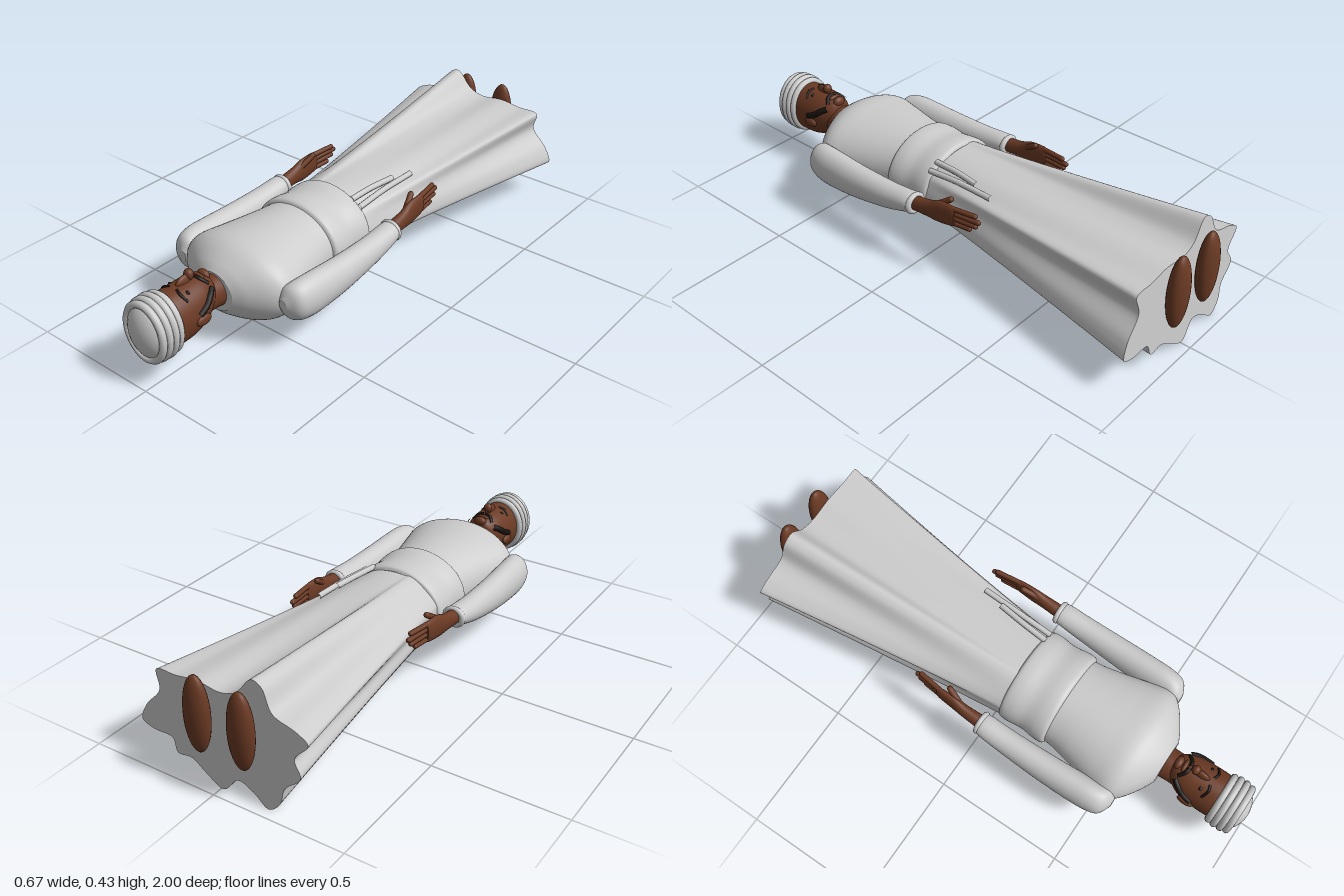
import * as THREE from 'three';

const cloth = new THREE.MeshStandardMaterial({ color: 0xcccccc });
const skin = new THREE.MeshStandardMaterial({ color: 0x6b3a24 });
const hair = new THREE.MeshStandardMaterial({ color: 0x17120f });
const CX = -0.017; // body axis

// Closed loft: point(u, k) gives ring points, u runs towards +z, k runs counter-clockwise
function loft(rings, segs, point) {
  const pos = [], idx = [];
  for (let i = 0; i <= rings; i++)
    for (let j = 0; j < segs; j++) pos.push(...point(i / rings, j / segs));
  for (let i = 0; i < rings; i++)
    for (let j = 0; j < segs; j++) {
      const a = i * segs + j, b = i * segs + (j + 1) % segs;
      idx.push(a, b, b + segs, a, b + segs, a + segs);
    }
  // end caps with their own vertices, so the rims stay sharp
  for (const end of [0, 1]) {
    const base = pos.length / 3, c = [0, 0, 0];
    for (let j = 0; j < segs; j++) {
      const p = point(end, j / segs);
      p.forEach((v, n) => { c[n] += v / segs; });
      pos.push(...p);
    }
    pos.push(...c);
    for (let j = 0; j < segs; j++) {
      const a = base + j, b = base + (j + 1) % segs;
      if (end) idx.push(base + segs, a, b); else idx.push(base + segs, b, a);
    }
  }
  const g = new THREE.BufferGeometry();
  g.setAttribute('position', new THREE.Float32BufferAttribute(pos, 3));
  g.setIndex(idx);
  g.computeVertexNormals();
  return g;
}

// Smooth elliptical body from rows [z, cx, cy, rx, ry]
function ovalLoft(rows, rings = 32, segs = 40) {
  const mid = new THREE.CatmullRomCurve3(rows.map(r => new THREE.Vector3(r[1], r[2], r[0])), false, 'catmullrom');
  const rad = new THREE.CatmullRomCurve3(rows.map(r => new THREE.Vector3(r[3], r[4], r[0])), false, 'catmullrom');
  return loft(rings, segs, (u, k) => {
    const c = mid.getPoint(u), r = rad.getPoint(u), a = k * Math.PI * 2;
    return [c.x + r.x * Math.cos(a), c.y + r.y * Math.sin(a), c.z];
  });
}

function add(parent, name, geometry, material) {
  const m = new THREE.Mesh(geometry, material);
  m.name = name;
  parent.add(m);
  return m;
}

function ellipsoid(parent, name, material, center, radii) {
  const m = add(parent, name, new THREE.SphereGeometry(1, 28, 18), material);
  m.position.set(...center);
  m.scale.set(...radii);
  return m;
}

function tube(parent, name, material, points, r, closed = false) {
  const curve = new THREE.CatmullRomCurve3(points.map(p => new THREE.Vector3(...p)), closed);
  return add(parent, name, new THREE.TubeGeometry(curve, closed ? 64 : 20, r, 10, closed), material);
}

// Capsule between two points
function capsule(parent, name, material, a, b, r) {
  const p = new THREE.Vector3(...a), q = new THREE.Vector3(...b), d = q.clone().sub(p);
  const m = add(parent, name, new THREE.CapsuleGeometry(r, d.length(), 5, 12), material);
  m.position.copy(p).add(q).multiplyScalar(0.5);
  m.quaternion.setFromUnitVectors(new THREE.Vector3(0, 1, 0), d.normalize());
}

const ovalRing = (z, rx, ry, cx = CX, cy = 0.205) => Array.from({ length: 16 }, (_, i) => {
  const a = i / 16 * Math.PI * 2;
  return [cx + rx * Math.cos(a), cy + ry * Math.sin(a), z];
});

// Robe skirt: an oval waist blending into a folded hem
function skirtGeometry() {
  const hem = new THREE.CatmullRomCurve3([
    [.31, .2], [.25, .275], [.262, .345], [.18, .35], [.09, .36], [0, .35], [-.06, .37], [-.12, .435],
    [-.16, .42], [-.2, .345], [-.29, .315], [-.335, .285], [-.285, .22], [-.31, .16], [-.25, .1], [-.235, .04],
    [-.19, .002], [-.13, .04], [-.07, .06], [-.01, .003], [.06, .035], [.12, .07], [.18, .068], [.2, .115],
    [.28, .12], [.33, .14]].map(([x, y]) => new THREE.Vector3(x, y, 0)), true);
  return loft(40, 156, (u, k) => {
    const h = hem.getPoint(k), t = Math.pow(1 - u, 1.12);
    const a = Math.atan2((h.y - 0.2) / 0.137, (h.x - CX) / 0.172);
    const x = CX + 0.172 * Math.cos(a), y = 0.2 + 0.137 * Math.sin(a);
    const hemZ = -0.962 + 0.09 * h.y;
    return [x + (h.x - x) * t, y + (h.y - y) * t, hemZ + (0.15 - hemZ) * u];
  });
}

function buildArm(parent, s) {
  const side = s > 0 ? 'left' : 'right';
  const arm = new THREE.Group();
  arm.name = side + 'Arm';
  parent.add(arm);
  const X = d => CX + s * d;
  // sleeve and cuff
  add(arm, side + 'Sleeve', ovalLoft([
    [.02, .26, .24, .038, .034], [.05, .262, .238, .044, .04], [.15, .263, .22, .047, .052],
    [.3, .262, .206, .052, .066], [.42, .259, .202, .055, .075], [.5, .255, .202, .055, .076],
    [.55, .245, .202, .05, .062], [.575, .235, .202, .016, .022],
  ].map(([z, d, cy, rx, ry]) => [z, X(d), cy, rx, ry])), cloth);
  tube(arm, side + 'Cuff', cloth, ovalRing(0.027, 0.035, 0.031, X(.26), .24), 0.011, true);
  // wrist, palm, fingers and thumb
  add(arm, side + 'Hand', ovalLoft([
    [-.165, X(.257), .266, .011, .034], [-.15, X(.257), .265, .015, .042], [-.09, X(.258), .258, .019, .045],
    [-.04, X(.26), .25, .022, .034], [.03, X(.26), .242, .026, .028]], 20, 24), skin);
  [[.235, -.225], [.256, -.25], [.276, -.262], [.294, -.245]].forEach(([y, z], i) =>
    capsule(arm, side + 'Finger' + (i + 1), skin, [X(.257), y + .002, -.145], [X(.25 - i * .002), y + .006, z], 0.0095));
  capsule(arm, side + 'Thumb', skin, [X(.252), .275, -.07], [X(.235), .312, -.125], 0.011);
}

function buildHead(parent) {
  const head = new THREE.Group();
  head.name = 'head';
  parent.add(head);
  add(head, 'neck', ovalLoft([[.62, CX, .205, .062, .062], [.68, CX, .21, .058, .06], [.74, CX, .21, .058, .06]], 8), skin);
  add(head, 'skull', ovalLoft([
    [.682, CX, .243, .02, .025], [.692, CX, .24, .045, .052], [.715, CX, .23, .063, .072], [.75, CX, .218, .077, .09],
    [.8, CX, .209, .083, .1], [.86, CX, .206, .084, .102], [.9, CX, .206, .08, .1]]), skin);
  ellipsoid(head, 'nose', skin, [CX, .306, .782], [.013, .026, .038]);
  ellipsoid(head, 'noseTip', skin, [CX, .325, .762], [.018, .02, .016]);
  ellipsoid(head, 'mouth', skin, [CX, .298, .722], [.026, .012, .009]);
  ellipsoid(head, 'chin', skin, [CX, .29, .698], [.026, .02, .016]);
  for (const s of [-1, 1]) {
    const X = d => CX + s * d;
    ellipsoid(head, 'ear', skin, [X(.083), .195, .785], [.011, .019, .032]);
    ellipsoid(head, 'eye', hair, [X(.034), .294, .808], [.015, .006, .007]);
    tube(head, 'eyebrow', hair, [[X(.014), .306, .83], [X(.036), .3, .836], [X(.06), .277, .826]], 0.005);
    tube(head, 'moustache', hair, [[X(.003), .307, .74], [X(.024), .301, .735], [X(.042), .283, .718]], 0.007);
    tube(head, 'sideBeard', hair, [[X(.08), .218, .8], [X(.076), .235, .765], [X(.066), .255, .738], [X(.05), .268, .715]], 0.012);
  }
  // wound headwrap and its dome
  [[.888, .086, .104], [.912, .09, .109], [.937, .089, .108], [.96, .084, .103]].forEach(([z, rx, ry], i) =>
    tube(head, 'headwrapBand' + (i + 1), cloth, ovalRing(z, rx, ry, CX - .003), 0.0135, true));
  ellipsoid(head, 'headwrapDome', cloth, [CX - .004, .205, .935], [.086, .107, .062]);
}

export function createModel() {
  const figure = new THREE.Group();
  figure.name = 'recliningRobedFigure';

  add(figure, 'skirt', skirtGeometry(), cloth);
  const oval = ([z, rx, ry]) => [z, CX, .203, rx, ry];
  add(figure, 'torso', ovalLoft([
    [.05, .17, .134], [.24, .175, .139], [.35, .195, .142], [.45, .22, .145], [.53, .236, .146],
    [.58, .208, .133], [.63, .138, .1], [.657, .085, .073]].map(oval), 48, 56), cloth);
  add(figure, 'waistSash', ovalLoft([
    [.045, .172, .137], [.056, .187, .149], [.09, .189, .151], [.145, .184, .146],
    [.2, .19, .152], [.235, .188, .15], [.247, .172, .137]].map(oval), 40, 56), cloth);

  // loose ends of the sash
  [[[.09, .325, .06], [.098, .331, -.04], [.112, .331, -.15]],
    [[.125, .305, .06], [.128, .318, -.08], [.134, .322, -.235]]].forEach((path, i) =>
    tube(figure, 'sashEnd' + (i + 1), cloth, path, 0.011));

  for (const s of [-1, 1]) {
    buildArm(figure, s);
    ellipsoid(figure, s > 0 ? 'leftFoot' : 'rightFoot', skin, [CX + s * .087, .265, -.966], [.05, .144, .034]);
  }
  buildHead(figure);
  return figure;
}
